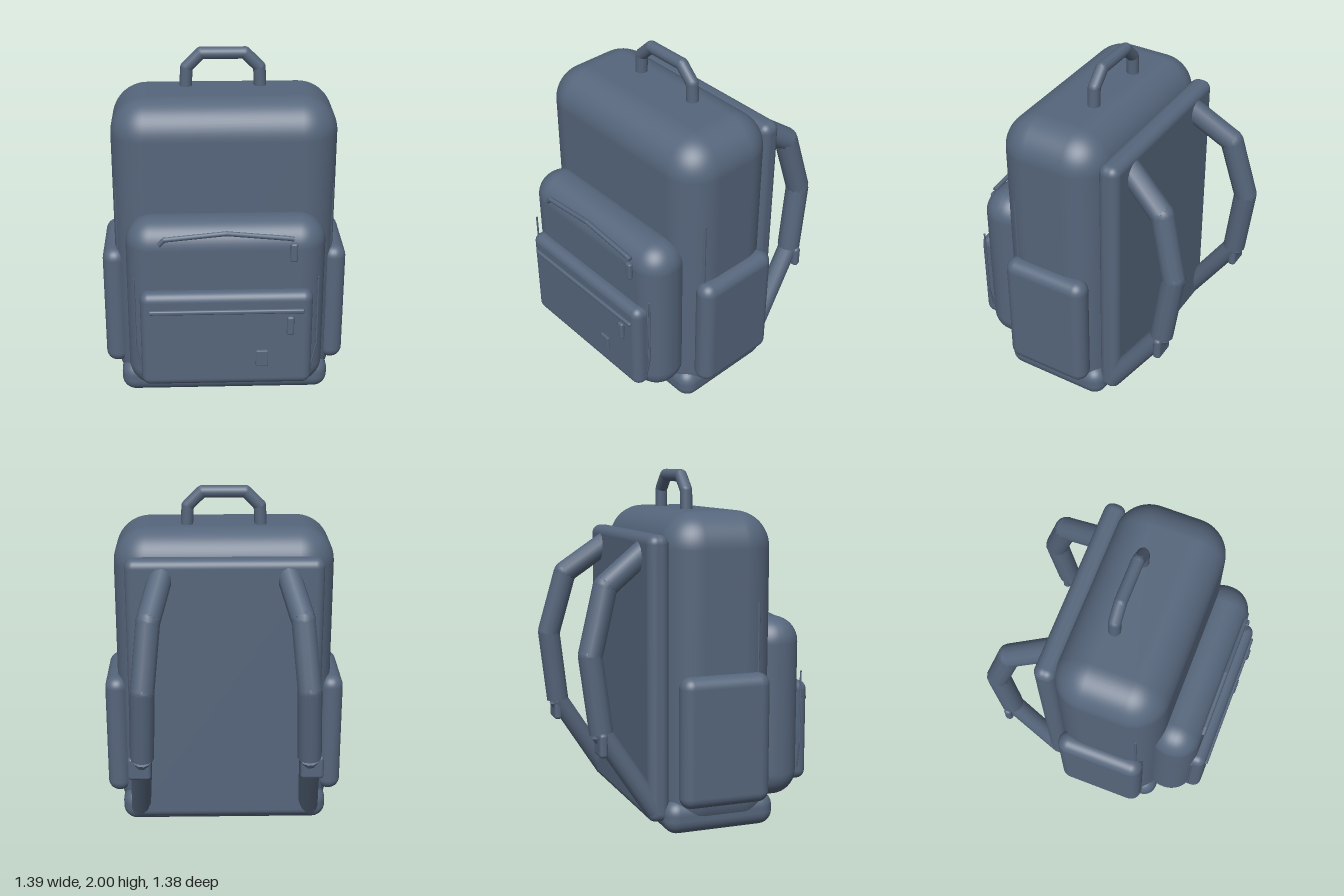
import * as THREE from 'three';
import { RoundedBoxGeometry } from 'three/addons/geometries/RoundedBoxGeometry.js';

export function createModel() {
  const model = new THREE.Group();
  model.name = 'backpack';
  const fabric = new THREE.MeshStandardMaterial({ color: 0x56667c });
  fabric.name = 'slate blue fabric';

  // Rounded box given by its [min, max] range on each axis
  function pad(name, [x0, x1], [y0, y1], [z0, z1], radius, segments = 6) {
    const geometry = new RoundedBoxGeometry(x1 - x0, y1 - y0, z1 - z0, segments, radius);
    const mesh = new THREE.Mesh(geometry, fabric);
    mesh.name = name;
    mesh.position.set((x0 + x1) / 2, (y0 + y1) / 2, (z0 + z1) / 2);
    model.add(mesh);
    return mesh;
  }

  // Straight round segments through the points, with a ball at each joint
  function rod(name, points, radius, sides = 12) {
    const group = new THREE.Group();
    group.name = name;
    const path = points.map((p) => new THREE.Vector3(...p));
    const up = new THREE.Vector3(0, 1, 0);
    for (let i = 0; i < path.length - 1; i++) {
      const dir = path[i + 1].clone().sub(path[i]);
      const segment = new THREE.Mesh(
        new THREE.CylinderGeometry(radius, radius, dir.length(), sides), fabric);
      segment.name = name + 'Segment';
      segment.position.copy(path[i]).add(path[i + 1]).multiplyScalar(0.5);
      segment.quaternion.setFromUnitVectors(up, dir.normalize());
      group.add(segment);
      if (i > 0) {
        const joint = new THREE.Mesh(new THREE.SphereGeometry(radius, sides, 8), fabric);
        joint.name = name + 'Joint';
        joint.position.copy(path[i]);
        group.add(joint);
      }
    }
    model.add(group);
    return group;
  }

  // Main bag
  pad('body', [-0.625, 0.625], [0, 1.78], [-0.225, 0.41], 0.2, 8);
  pad('base', [-0.605, 0.605], [0.01, 0.2], [-0.24, 0.41], 0.08);
  pad('backPanel', [-0.55, 0.55], [0.08, 1.66], [-0.322, -0.2], 0.05);

  // Front pockets
  pad('frontPocket', [-0.55, 0.55], [0.14, 1.18], [0.31, 0.61], 0.145, 8);
  pad('lowerPocket', [-0.475, 0.475], [0.22, 0.8], [0.55, 0.67], 0.05);

  // Zips, pulls and label
  rod('upperZip', [[-0.365, 1.075, 0.61], [-0.335, 1.105, 0.61], [0, 1.138, 0.61],
    [0.335, 1.105, 0.61], [0.365, 1.1, 0.61]], 0.014, 8);
  pad('upperZipPull', [0.345, 0.385], [0.97, 1.08], [0.605, 0.635], 0.012, 3);
  pad('lowerZip', [-0.427, 0.427], [0.682, 0.708], [0.66, 0.684], 0.01, 3);
  pad('lowerZipPull', [0.33, 0.37], [0.55, 0.665], [0.665, 0.692], 0.012, 3);
  pad('label', [0.162, 0.23], [0.352, 0.452], [0.66, 0.684], 0.006, 2);

  // Carry handle
  rod('carryHandle', [[-0.21, 1.74, 0.018], [-0.203, 1.885, 0.018], [-0.122, 1.965, 0.018],
    [0.122, 1.965, 0.018], [0.203, 1.885, 0.018], [0.21, 1.74, 0.018]], 0.035);

  // Parts repeated on both sides
  for (const [s, side] of [[1, 'left'], [-1, 'right']]) {
    const xRange = (a, b) => (s > 0 ? [a, b] : [-b, -a]);
    const mirror = (points) => points.map(([x, y, z]) => [s * x, y, z]);

    pad(side + 'SidePocket', xRange(0.56, 0.695), [0.175, 0.905], [-0.178, 0.342], 0.065);
    rod(side + 'PocketPiping', mirror([[0.505, 0.87, 0.603], [0.505, 0.45, 0.603],
      [0.475, 0.3, 0.603]]), 0.006, 6);
    rod(side + 'BodySeam', mirror([[0.604, 1.29, 0.29], [0.604, 0.75, 0.29]]), 0.009, 6);

    // Padded shoulder strap, webbing and adjuster
    rod(side + 'ShoulderStrap', mirror([[0.345, 1.58, -0.26], [0.415, 1.385, -0.525],
      [0.45, 1.02, -0.622], [0.465, 0.6, -0.57]]), 0.067);
    rod(side + 'StrapWebbing', mirror([[0.465, 0.6, -0.57], [0.495, 0.13, -0.265]]), 0.058);
    pad(side + 'StrapAdjuster', xRange(0.415, 0.545), [0.475, 0.61], [-0.6, -0.553], 0.02, 4);
  }
  return model;
}
